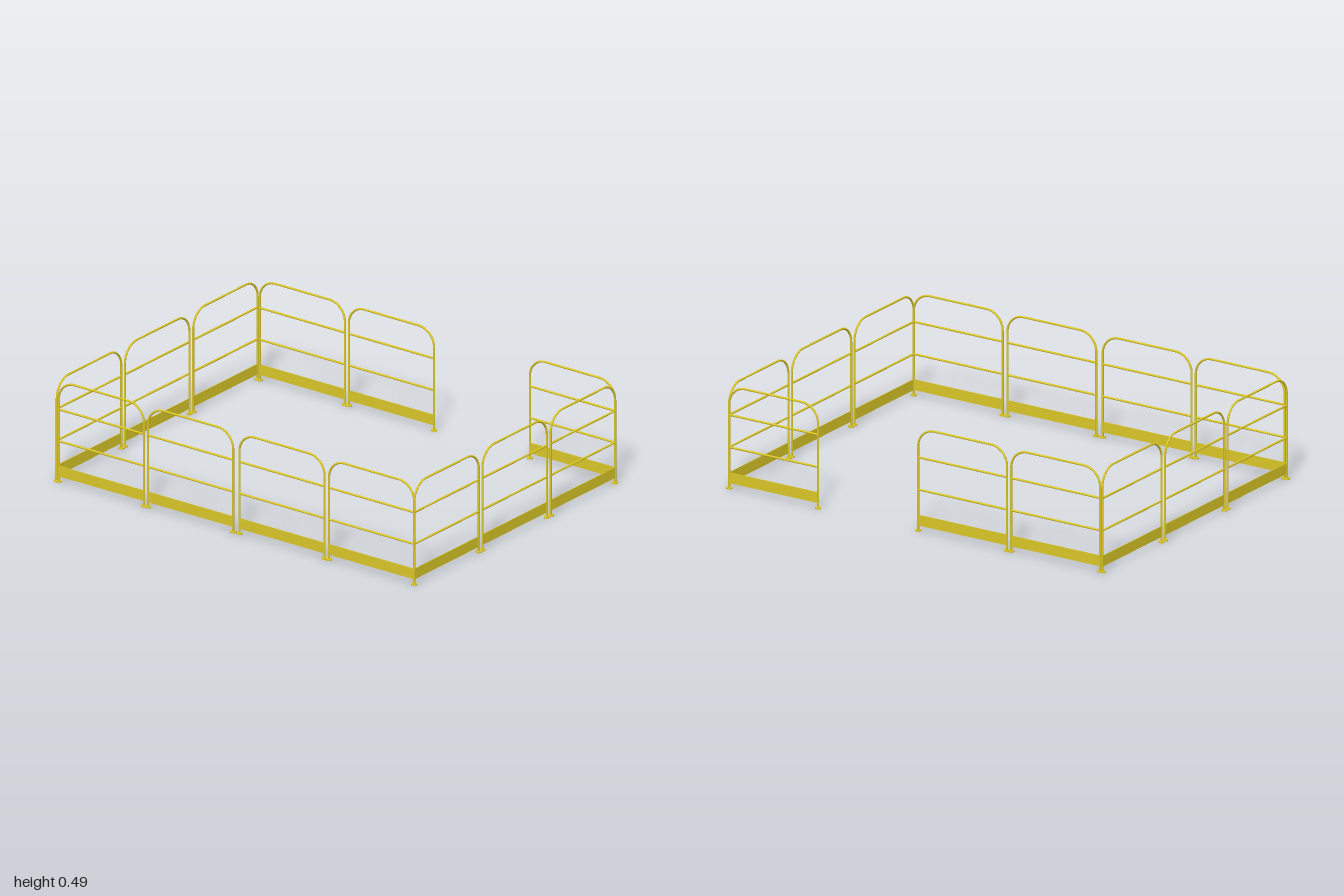
import * as THREE from 'three';

const WIDTH = 0.47, TOP = 0.481, BEND = 0.085;
const TUBE = 0.0048, FOOT = 0.0135;

const yellow = new THREE.MeshStandardMaterial({ color: 0xdcc828 });

// Hoop path: up one post, around two bends, down the other
function hoopPath() {
  const h = WIDTH / 2, k = BEND * 0.5523;
  const v = (x, y) => new THREE.Vector3(x, y, 0);
  const path = new THREE.CurvePath();
  const low = TOP - BEND, inner = h - BEND;
  path.add(new THREE.LineCurve3(v(-h, 0), v(-h, low)));
  path.add(new THREE.CubicBezierCurve3(v(-h, low), v(-h, low + k), v(-inner - k, TOP), v(-inner, TOP)));
  path.add(new THREE.LineCurve3(v(-inner, TOP), v(inner, TOP)));
  path.add(new THREE.CubicBezierCurve3(v(inner, TOP), v(inner + k, TOP), v(h, low + k), v(h, low)));
  path.add(new THREE.LineCurve3(v(h, low), v(h, 0)));
  return path;
}

const hoopGeo = new THREE.TubeGeometry(hoopPath(), 120, TUBE, 12);
const railGeo = new THREE.CylinderGeometry(TUBE, TUBE, WIDTH, 12).rotateZ(Math.PI / 2);
const boardGeo = new THREE.BoxGeometry(WIDTH - TUBE, 0.05, 0.003);
const footGeo = new THREE.CylinderGeometry(FOOT, FOOT, 0.006, 20);

function addPart(parent, name, geometry, x, y) {
  const mesh = new THREE.Mesh(geometry, yellow);
  mesh.name = name;
  mesh.position.set(x, y, 0);
  parent.add(mesh);
}

// One barrier panel, centred on its own x axis
function makePanel(name) {
  const panel = new THREE.Group();
  panel.name = name;
  addPart(panel, 'hoop', hoopGeo, 0, 0);
  addPart(panel, 'middleRail', railGeo, 0, 0.194);
  addPart(panel, 'upperRail', railGeo, 0, 0.345);
  addPart(panel, 'toeBoard', boardGeo, 0, 0.051);
  for (const side of [-1, 1]) addPart(panel, 'footPlate', footGeo, side * WIDTH / 2, 0.003);
  return panel;
}

export function createModel() {
  const model = new THREE.Group();
  model.name = 'guardrailEnclosure';
  const endZ = 0.732, sideX = 0.9865;

  // Front row is complete; the back row leaves an entrance gap
  const columns = [-0.74, -0.248, 0.256, 0.751];
  columns.forEach((x, i) => {
    const front = makePanel('frontPanel');
    front.position.set(x, 0, endZ);
    model.add(front);
    if (i === 2) return;
    const back = makePanel('backPanel');
    back.position.set(x, 0, -endZ);
    model.add(back);
  });

  // Left and right rows
  for (const side of [-1, 1]) {
    for (const z of [-0.497, 0.001, 0.497]) {
      const panel = makePanel(side > 0 ? 'leftPanel' : 'rightPanel');
      panel.position.set(side * sideX, 0, z);
      panel.rotation.y = Math.PI / 2;
      model.add(panel);
    }
  }
  return model;
}
